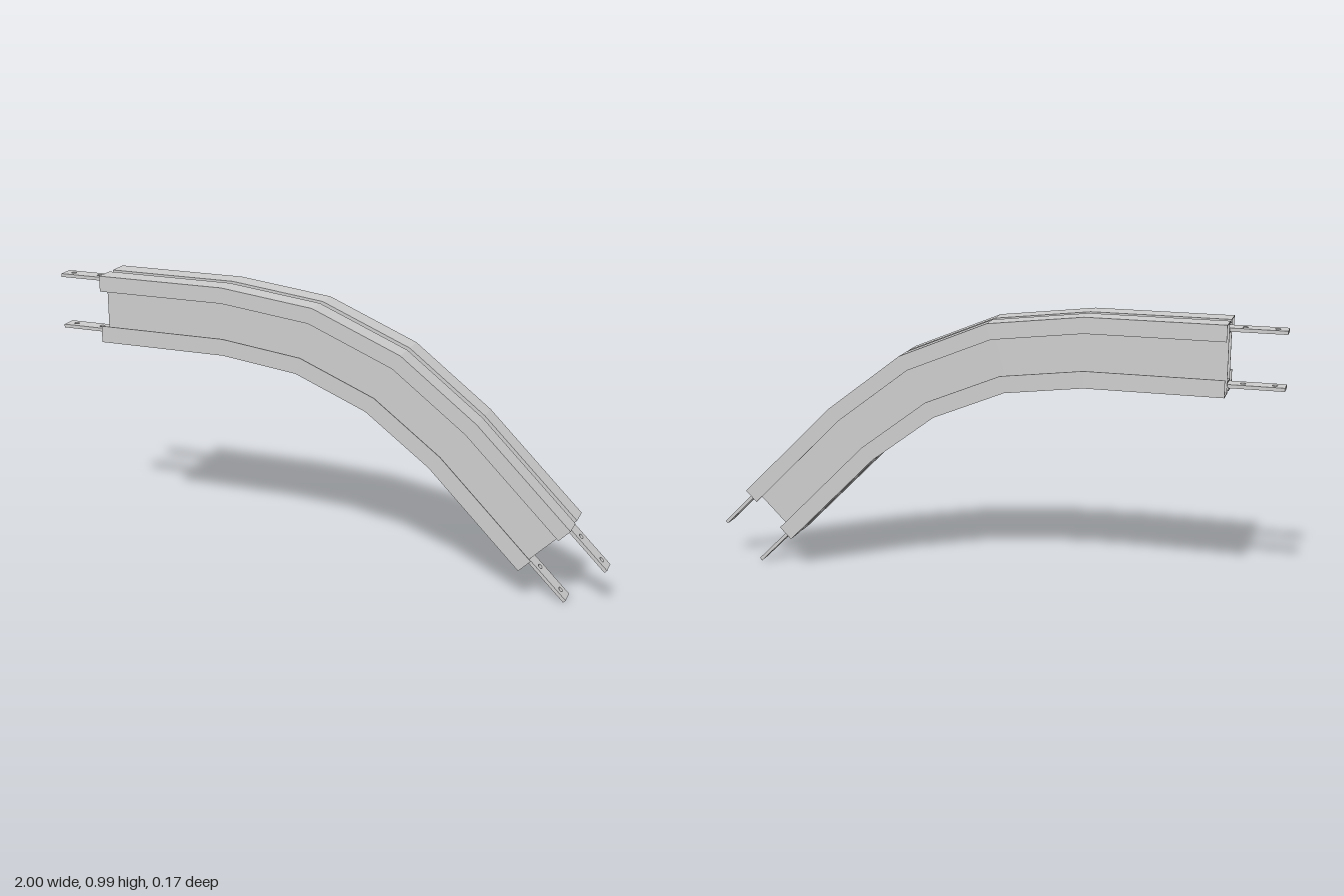
import * as THREE from 'three';

// Outer and inner edge of the bent beam, station by station
const OUTER = [[-0.815, 0.99], [-0.35, 0.99], [-0.02, 0.95], [0.29, 0.82], [0.555, 0.615], [0.882, 0.288]];
const INNER = [[-0.815, 0.752], [-0.35, 0.752], [-0.08, 0.717], [0.17, 0.613], [0.395, 0.443], [0.714, 0.12]];
const DEPTH = 0.238;

const material = new THREE.MeshStandardMaterial({ color: 0xcccccc, flatShading: true, side: THREE.DoubleSide });

// Point at a station, a given depth below the outer edge
function beamPoint(station, depth) {
  const o = OUTER[station], i = INNER[station], t = depth / DEPTH;
  return [o[0] + (i[0] - o[0]) * t, o[1] + (i[1] - o[1]) * t];
}

// Sweep a section of [z, depth] points along the beam
function sweep(name, section) {
  const shape = new THREE.Shape(section.map(([z, d]) => new THREE.Vector2(z, d)));
  const steps = OUTER.length - 1;
  const geometry = new THREE.ExtrudeGeometry(shape, { depth: steps, steps, bevelEnabled: false });
  const p = geometry.attributes.position;
  for (let i = 0; i < p.count; i++) {
    const [x, y] = beamPoint(Math.round(p.getZ(i)), p.getY(i));
    p.setXYZ(i, x, y, p.getX(i));
  }
  geometry.computeVertexNormals();
  const mesh = new THREE.Mesh(geometry, material);
  mesh.name = name;
  return mesh;
}

// Flat joining strip with bolt holes, centred on its own origin
function stripGeometry() {
  const l = 0.185, w = 0.028, t = 0.012;
  const shape = new THREE.Shape([[-l, -w], [l, -w], [l, w], [-l, w]].map(([x, y]) => new THREE.Vector2(x, y)));
  for (const x of [-0.15, -0.047, 0.047, 0.15]) {
    shape.holes.push(new THREE.Path().absarc(x, 0, 0.009, 0, Math.PI * 2, true));
  }
  const geometry = new THREE.ExtrudeGeometry(shape, { depth: t, bevelEnabled: false, curveSegments: 8 });
  return geometry.translate(0, 0, -t / 2).rotateX(Math.PI / 2);
}

export function createModel() {
  const model = new THREE.Group();
  model.name = 'curvedBeam';

  // Side channels: flanges with turned lips, web, and folded slot edges
  const half = [
    [0.0125, 0], [0.086, 0], [0.086, 0.055], [0.082, 0.055], [0.082, 0.004], [0.032, 0.004],
    [0.032, 0.234], [0.082, 0.234], [0.082, 0.18], [0.086, 0.18], [0.086, 0.238], [0.0125, 0.238],
    [0.0125, 0.226], [0.0165, 0.226], [0.0165, 0.234], [0.028, 0.234],
    [0.028, 0.004], [0.0165, 0.004], [0.0165, 0.012], [0.0125, 0.012],
  ];
  model.add(sweep('frontChannel', half));
  model.add(sweep('backChannel', half.map(([z, d]) => [-z, d])));

  // Slot floors joining the two webs
  for (const [name, d] of [['upperSlotFloor', 0.035], ['lowerSlotFloor', 0.199]]) {
    model.add(sweep(name, [[-0.028, d], [0.028, d], [0.028, d + 0.004], [-0.028, d + 0.004]]));
  }

  // Joining strips, half inside the slots at each end
  const strip = stripGeometry();
  const ends = [['left', OUTER.length - 1, -Math.PI / 4], ['right', 0, 0]];
  for (const [side, station, angle] of ends) {
    for (const [level, depth] of [['Upper', 0.026], ['Lower', 0.212]]) {
      const mesh = new THREE.Mesh(strip, material);
      mesh.name = `${side}${level}Strip`;
      mesh.position.set(...beamPoint(station, depth), 0);
      mesh.rotation.z = angle;
      model.add(mesh);
    }
  }
  return model;
}
